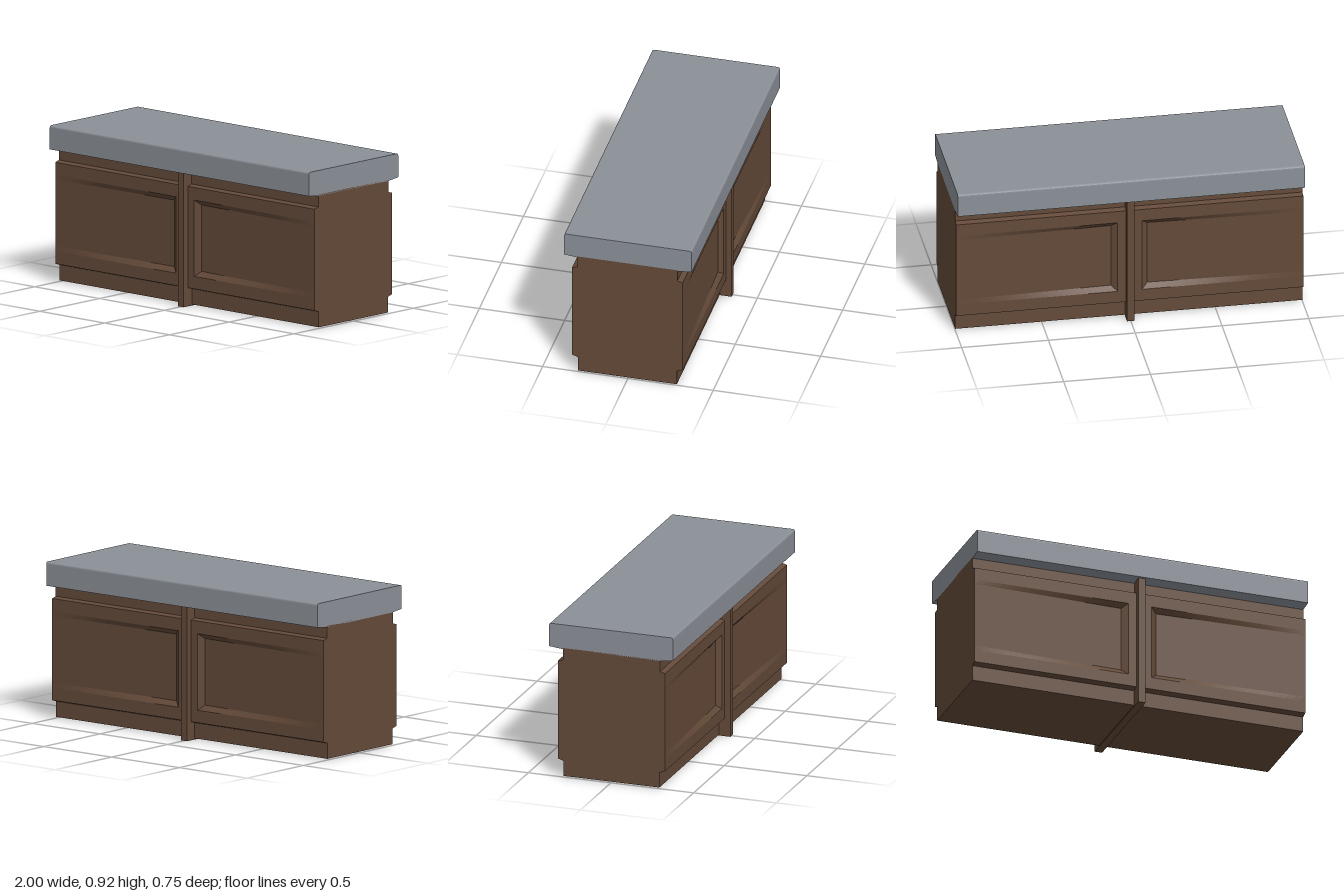
import * as THREE from 'three';

const wood = new THREE.MeshStandardMaterial({ name: 'brown wood', color: 0x644a39 });
const stone = new THREE.MeshStandardMaterial({ name: 'grey stone', color: 0x8b9098 });

// door cross-section as [y, z], from the toe kick up to the neck below the worktop
const section = [
  [0.007, 0.29], [0.097, 0.29], [0.108, 0.324], [0.18, 0.324], [0.21, 0.324],
  [0.595, 0.324], [0.622, 0.324], [0.695, 0.324], [0.704, 0.293], [0.775, 0.293],
];
const DEPTH = 0.025;

// panel recess: bevelled beside the post, running out to flush at the ends
function recess(x) {
  const a = Math.abs(x);
  if (a <= 0.07) return 0;
  return DEPTH * (a < 0.105 ? (a - 0.07) / 0.035 : (1 - a) / 0.895);
}

function doorGeometry() {
  const right = [0.02, 0.07, 0.105];
  for (let i = 1; i <= 20; i++) right.push(0.105 + 0.895 * i / 20);
  const xs = [...right.map(x => -x).reverse(), ...right];
  const at = (i, j) => {
    const [y, z] = section[j];
    return [xs[i], y, z - (j === 4 || j === 5 ? recess(xs[i]) : 0)];
  };
  const pos = [];
  for (let i = 0; i < xs.length - 1; i++) {
    for (let j = 0; j < section.length - 1; j++) {
      const a = at(i, j), b = at(i + 1, j), c = at(i + 1, j + 1), d = at(i, j + 1);
      // the diagonal follows the mitre of the recess corners
      const rising = (xs[i] > 0) === (j <= 4);
      pos.push(...(rising ? [a, b, c, a, c, d] : [a, b, d, b, c, d]).flat());
    }
  }
  const g = new THREE.BufferGeometry();
  g.setAttribute('position', new THREE.Float32BufferAttribute(pos, 3));
  g.computeVertexNormals();
  return g;
}

function add(parent, name, geometry, material) {
  const m = new THREE.Mesh(geometry, material);
  m.name = name;
  parent.add(m);
  return m;
}

export function createModel() {
  const model = new THREE.Group();
  model.name = 'kitchenCounter';

  const cabinet = new THREE.Group();
  cabinet.name = 'cabinet';
  cabinet.position.z = 0.003;
  model.add(cabinet);

  // front and back doors
  const door = doorGeometry();
  add(cabinet, 'frontDoors', door, wood);
  add(cabinet, 'backDoors', door, wood).rotation.y = Math.PI;

  // end panels
  const outline = [...section.map(([y, z]) => new THREE.Vector2(z, y)),
    ...section.map(([y, z]) => new THREE.Vector2(-z, y)).reverse()];
  const end = new THREE.ShapeGeometry(new THREE.Shape(outline));
  for (const s of [-1, 1]) {
    const m = add(cabinet, s > 0 ? 'leftEnd' : 'rightEnd', end, wood);
    m.rotation.y = s * Math.PI / 2;
    m.position.x = s;
  }

  // base board
  const base = add(cabinet, 'baseBoard', new THREE.PlaneGeometry(2, 0.58), wood);
  base.rotation.x = Math.PI / 2;
  base.position.y = 0.007;

  // centre post on both sides
  const post = add(cabinet, 'centrePost', new THREE.BoxGeometry(0.044, 0.778, 0.716), wood);
  post.position.y = 0.389;

  // worktop with softened upper edges and a slightly sloped underside
  const w = 0.374, top = 0.915, r = 0.013;
  const s = new THREE.Shape();
  s.moveTo(-w, 0.777);
  s.lineTo(-0.293, 0.768);
  s.lineTo(0.293, 0.768);
  s.lineTo(w, 0.777);
  s.lineTo(w, top - r);
  s.quadraticCurveTo(w, top, w - r, top);
  s.lineTo(-w + r, top);
  s.quadraticCurveTo(-w, top, -w, top - r);
  const slab = new THREE.ExtrudeGeometry(s, { depth: 2, bevelEnabled: false, curveSegments: 4 });
  slab.translate(0, 0, -1);
  slab.rotateY(Math.PI / 2);
  add(model, 'worktop', slab, stone);

  return model;
}
